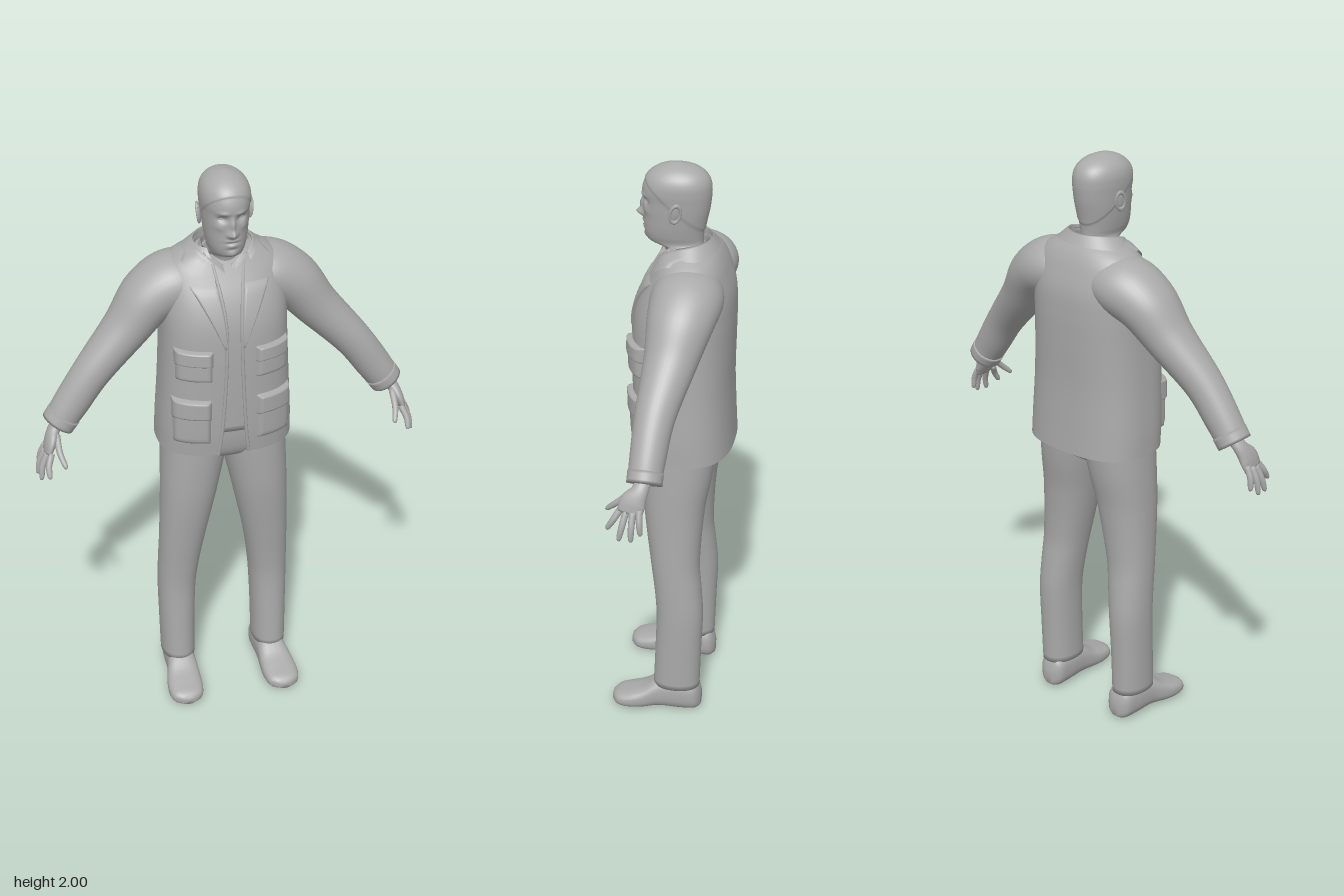
import * as THREE from 'three';

const grey = new THREE.MeshStandardMaterial({ color: 0xaaaaaa, side: THREE.DoubleSide });
grey.name = 'plain grey';

// Smooth surface from f(u, v) -> [x, y, z]; outward side is du x dv
function grid(f, nu, nv, wrap = false) {
  const pos = [], idx = [], w = wrap ? nu : nu + 1;
  for (let j = 0; j <= nv; j++) for (let i = 0; i < w; i++) pos.push(...f(i / nu, j / nv));
  for (let j = 0; j < nv; j++) for (let i = 0; i < nu; i++) {
    const a = j * w + i, b = j * w + (i + 1) % w;
    idx.push(a, b, b + w, a, b + w, a + w);
  }
  const g = new THREE.BufferGeometry();
  g.setAttribute('position', new THREE.Float32BufferAttribute(pos, 3));
  g.setIndex(idx);
  g.computeVertexNormals();
  return g;
}

// Cubic interpolation of rows keyed by their first column
function sample(rows, key) {
  const n = rows.length;
  const k = Math.min(Math.max(key, rows[0][0]), rows[n - 1][0]);
  let i = 0;
  while (i < n - 2 && k > rows[i + 1][0]) i++;
  const a = rows[i], b = rows[i + 1], p = rows[Math.max(i - 1, 0)], q = rows[Math.min(i + 2, n - 1)];
  const h = b[0] - a[0], t = (k - a[0]) / h, t2 = t * t, t3 = t2 * t;
  return a.map((_, c) => {
    const ma = (b[c] - p[c]) / (b[0] - p[0]) * h, mb = (q[c] - a[c]) / (q[0] - a[0]) * h;
    return a[c] * (2 * t3 - 3 * t2 + 1) + ma * (t3 - 2 * t2 + t) + b[c] * (3 * t2 - 2 * t3) + mb * (t3 - t2);
  });
}
const pw = (s, n) => Math.sign(s) * Math.abs(s) ** (2 / n);

// Upright body from rows [y, xMin, xMax, zFront, zBack, power], closed at both ends
function loft(rows, nu, nv, shape = p => p) {
  const y0 = rows[0][0], y1 = rows[rows.length - 1][0];
  return grid((u, v) => {
    const j = Math.round(v * (nv + 2)), cap = j === 0 || j === nv + 2 ? 0 : 1;
    const t = Math.min(Math.max((j - 1) / nv, 0), 1);
    const [y, xa, xb, zf, zb, n] = sample(rows, y0 + (y1 - y0) * t);
    const a = u * Math.PI * 2;
    return shape([(xa + xb) / 2 + cap * (xb - xa) / 2 * pw(Math.sin(a), n), y,
      (zf + zb) / 2 + cap * (zf - zb) / 2 * pw(Math.cos(a), n)]);
  }, nu, nv + 2, true);
}

// Limb along points [x, y, z, radius across, radius in depth]
function limb(pts, nu = 24, nv = 30) {
  const rows = pts.map((p, i) => [i, ...p]), last = pts.length - 1;
  return grid((u, v) => {
    const j = Math.round(v * (nv + 2)), cap = j === 0 || j === nv + 2 ? 0 : 1;
    const k = Math.min(Math.max((j - 1) / nv, 0), 1) * last;
    const [, x, y, z, rn, rb] = sample(rows, k);
    const p = sample(rows, k - 0.05), q = sample(rows, k + 0.05);
    const T = new THREE.Vector3(q[1] - p[1], q[2] - p[2], q[3] - p[3]).normalize();
    const B = new THREE.Vector3(0, 0, 1).addScaledVector(T, -T.z).normalize();
    const N = B.clone().cross(T), a = u * Math.PI * 2;
    return new THREE.Vector3(x, y, z).addScaledVector(N, cap * rn * Math.cos(a))
      .addScaledVector(B, cap * rb * Math.sin(a)).toArray();
  }, nu, nv + 2, true);
}

// Jacket rows: [y, half width, zFront, zBack, power, half opening]
const jacketRows = [
  [1.015, 0.23, 0.127, -0.2, 2.6, 0.052], [1.1, 0.228, 0.135, -0.196, 2.6, 0.042],
  [1.25, 0.219, 0.14, -0.191, 2.6, 0.032], [1.4, 0.212, 0.141, -0.194, 2.6, 0.026],
  [1.5, 0.21, 0.133, -0.195, 2.6, 0.026], [1.58, 0.209, 0.108, -0.19, 2.5, 0.033],
  [1.66, 0.2, 0.064, -0.166, 2.4, 0.045], [1.69, 0.175, 0.048, -0.152, 2.3, 0.05],
  [1.715, 0.135, 0.036, -0.135, 2.2, 0.055], [1.735, 0.09, 0.025, -0.11, 2, 0.06]];
const chestZ = (x, y) => {
  const [, hw, zf, zb, n] = sample(jacketRows, y);
  return (zf + zb) / 2 + (zf - zb) / 2 * Math.max(0, 1 - Math.abs(x / hw) ** n) ** (1 / n);
};
const gapAt = y => sample(jacketRows, y)[5];

// Raised cloth panel lying on the chest between xa(y) and xb(y)
function panel(xa, xb, y0, y1, thick) {
  const N = 18;
  return grid((u, v) => {
    const y = y0 + (y1 - y0) * v, x = xa(y) + (xb(y) - xa(y)) * u;
    const e = Math.min(u, 1 - u, v, 1 - v) * N;
    const t = e < 0.5 ? -0.003 : e < 1.5 ? thick * 0.75 : thick;
    return [x + t * x * 2, y, chestZ(x, y) + t];
  }, N, N);
}

// Turned-down collar, open at the front
function collar(sweep, rx, rz, ox, oz, top, drop, front, lift) {
  return grid((u, v) => {
    const a = (u * 2 - 1) * sweep, f = Math.abs(u * 2 - 1) ** 3, s = Math.sin(a), c = -Math.cos(a);
    const w = v < 0.35 ? 0 : (v - 0.35) / 0.65;
    const y = top - front * f - (v < 0.35 ? (0.35 - v) * 0.12 : drop * (1 + f) * w);
    const x = s * (rx + (ox - rx) * w);
    let z = -0.03 + c * (rz + (oz - rz) * w);
    if (w > 0.2 && z > -0.03) z = Math.max(z, chestZ(x, y) + lift);
    return [x, y, z];
  }, 60, 14);
}

export function createModel() {
  const model = new THREE.Group();
  const add = (parent, name, geometry) => {
    const m = new THREE.Mesh(geometry, grey);
    m.name = name;
    parent.add(m);
    return m;
  };

  // Head and neck, with the face and hairline raised by soft bumps [x, y, width, height, amount]
  const bumps = [[0, 1.825, 0.011, 0.013, 0.024], [0, 1.855, 0.008, 0.022, 0.013], [0.013, 1.822, 0.006, 0.007, 0.007],
    [0.03, 1.874, 0.015, 0.01, -0.013], [0.028, 1.896, 0.018, 0.006, 0.005], [0, 1.8, 0.02, 0.004, 0.005],
    [0, 1.792, 0.02, 0.003, -0.005], [0, 1.782, 0.016, 0.005, 0.004], [0, 1.768, 0.02, 0.005, -0.004],
    [0, 1.75, 0.016, 0.01, 0.005], [0.042, 1.845, 0.014, 0.012, 0.004]];
  const headRows = [[1.64, 0.075, 0.03, -0.1], [1.7, 0.062, 0.035, -0.092], [1.722, 0.06, 0.048, -0.088],
    [1.737, 0.056, 0.09, -0.087], [1.76, 0.062, 0.104, -0.088], [1.79, 0.068, 0.107, -0.092],
    [1.82, 0.072, 0.107, -0.098], [1.85, 0.075, 0.108, -0.104], [1.88, 0.077, 0.109, -0.108],
    [1.91, 0.079, 0.112, -0.11], [1.94, 0.077, 0.104, -0.107], [1.965, 0.067, 0.088, -0.094],
    [1.985, 0.047, 0.061, -0.068], [1.995, 0.026, 0.035, -0.038], [2, 0.008, 0.012, -0.012]]
    .map(([y, h, f, b]) => [y, -h, h, f, b, 2.1]);
  add(model, 'head', loft(headRows, 112, 96, ([x, y, z]) => {
    let dz = 0;
    if (z > 0.02) for (const [bx, by, sx, sy, amt] of bumps)
      dz += amt * Math.exp(-(((Math.abs(x) - bx) / sx) ** 2) - ((y - by) / sy) ** 2);
    const hair = y > 1.76 ? 1 + 0.035 * THREE.MathUtils.smoothstep(y - 1.86 - 0.9 * z, -0.004, 0.004) : 1;
    return [x * hair, y, z * hair + dz];
  }));

  // Shirt and hips under the open jacket
  add(model, 'shirt', loft(jacketRows.slice(1, 9).map(([y, h, f, b, n]) =>
    [y, -h * 0.93, h * 0.93, f - 0.012, b + 0.015, n]), 48, 30));
  add(model, 'shirtCollar', collar(2.95, 0.068, 0.072, 0.085, 0.085, 1.745, 0.035, 0.06, 0.004));
  add(model, 'hips', loft([[0.945, -0.09, 0.09, 0.03, -0.09, 2.2], [0.98, -0.17, 0.17, 0.08, -0.14, 2.4],
    [1.03, -0.205, 0.205, 0.1, -0.155, 2.5], [1.12, -0.205, 0.205, 0.11, -0.16, 2.5]], 40, 14));

  // Jacket shell, left open at the front
  add(model, 'jacket', grid((u, v) => {
    const [y, hw, zf, zb, n, gap] = sample(jacketRows, 1.015 + 0.72 * v);
    const a0 = Math.asin((gap / hw) ** (n / 2)), a = a0 + u * (Math.PI * 2 - 2 * a0);
    return [hw * pw(Math.sin(a), n), y, (zf + zb) / 2 + (zf - zb) / 2 * pw(Math.cos(a), n)];
  }, 80, 48));
  add(model, 'jacketCollar', collar(2.4, 0.096, 0.086, 0.145, 0.11, 1.757, 0.036, 0.04, 0.011));

  // Left half parts, mirrored for the right
  const left = new THREE.Group();
  left.name = 'leftSide';
  const ys = Array.from({ length: 14 }, (_, i) => 1.017 + i * 0.052);
  add(left, 'jacketEdge', new THREE.TubeGeometry(new THREE.CatmullRomCurve3(
    ys.map(y => new THREE.Vector3(gapAt(y), y, chestZ(gapAt(y), y)))), 60, 0.006, 8));
  add(left, 'lapel', panel(gapAt, y => gapAt(y) + 0.004 + (y - 1.42) * 0.42, 1.42, 1.635, 0.009));
  for (const [name, xa, xb, y0, y1, t] of [
    ['upperPocket', 0.073, 0.188, 1.31, 1.415, 0.013], ['upperPocketFlap', 0.07, 0.191, 1.37, 1.425, 0.019],
    ['lowerPocket', 0.078, 0.198, 1.065, 1.235, 0.013], ['lowerPocketFlap', 0.075, 0.201, 1.165, 1.24, 0.019]])
    add(left, name, panel(() => xa, () => xb, y0, y1, t));

  // Sleeve and cuff
  add(left, 'sleeve', limb([[0.06, 1.6, -0.055, 0.07, 0.1], [0.15, 1.6, -0.06, 0.1, 0.118],
    [0.24, 1.555, -0.052, 0.094, 0.108], [0.325, 1.455, -0.035, 0.077, 0.086],
    [0.443, 1.327, -0.009, 0.064, 0.066], [0.52, 1.22, 0, 0.06, 0.058], [0.567, 1.152, 0.003, 0.053, 0.054]], 36, 48));
  add(left, 'cuff', limb([[0.546, 1.182, 0.002, 0.059, 0.058], [0.569, 1.149, 0.003, 0.057, 0.057]], 32, 4));

  // Hand
  add(left, 'palm', limb([[0.555, 1.17, 0.005, 0.02, 0.027], [0.585, 1.135, 0.014, 0.02, 0.028],
    [0.602, 1.1, 0.033, 0.019, 0.042], [0.615, 1.065, 0.042, 0.013, 0.04]], 24, 16));
  for (const [name, a, b] of [
    ['thumb', [0.58, 1.125, 0.04], [0.568, 1.045, 0.127]], ['indexFinger', [0.605, 1.075, 0.072], [0.622, 1.005, 0.115]],
    ['middleFinger', [0.615, 1.072, 0.053], [0.645, 0.98, 0.073]], ['ringFinger', [0.62, 1.073, 0.031], [0.65, 0.982, 0.033]],
    ['littleFinger', [0.616, 1.08, 0.011], [0.64, 1.002, 0.004]]]) {
    const at = (t, r, bow = 0) => [...a.map((c, i) => c + (b[i] - c) * t + (i === 0 ? bow : 0)), r, r];
    add(left, name, limb([at(0, 0.011), at(0.5, 0.0105, 0.006), at(0.9, 0.0085), at(1, 0.004)], 12, 12));
  }

  // Trouser leg
  add(left, 'trouserLeg', loft([[0.1, 0.11, 0.228, 0.053, -0.11, 2.2], [0.25, 0.107, 0.231, 0.046, -0.115, 2.2],
    [0.4, 0.1, 0.233, 0.042, -0.12, 2.2], [0.5, 0.088, 0.231, 0.05, -0.113, 2.2], [0.6, 0.072, 0.228, 0.063, -0.105, 2.2],
    [0.8, 0.03, 0.222, 0.088, -0.118, 2.2], [0.93, 0.002, 0.218, 0.095, -0.14, 2.2],
    [1.05, -0.02, 0.212, 0.098, -0.152, 2.2], [1.1, -0.02, 0.208, 0.1, -0.152, 2.2]], 40, 50));

  // Shoe rows: [z, x centre, half width, bottom, top]
  const shoeRows = [[-0.115, 0.162, 0.022, 0.012, 0.07], [-0.1, 0.163, 0.045, 0.002, 0.11], [-0.05, 0.165, 0.052, 0, 0.125],
    [0.03, 0.168, 0.053, 0.003, 0.118], [0.09, 0.174, 0.061, 0, 0.082], [0.14, 0.177, 0.062, 0, 0.064],
    [0.18, 0.178, 0.05, 0.005, 0.052], [0.198, 0.178, 0.022, 0.012, 0.04]];
  add(left, 'shoe', grid((u, v) => {
    const j = Math.round(v * 36), cap = j === 0 || j === 36 ? 0 : 1, a = u * Math.PI * 2;
    const [z, xc, hw, lo, hi] = sample(shoeRows, -0.115 + 0.313 * Math.min(Math.max((j - 1) / 34, 0), 1));
    return [xc - cap * hw * pw(Math.sin(a), 2.6), (lo + hi) / 2 + cap * (hi - lo) / 2 * pw(Math.cos(a), 2.6), z];
  }, 32, 36, true));

  // Ear and eye
  const ear = new THREE.Group();
  ear.name = 'ear';
  ear.position.set(0.081, 1.857, -0.008);
  ear.rotation.set(-0.15, 0.3, -0.1);
  add(ear, 'earBody', new THREE.SphereGeometry(1, 16, 12)).scale.set(0.006, 0.032, 0.018);
  const rim = add(ear, 'earRim', new THREE.TorusGeometry(0.017, 0.0045, 8, 24));
  rim.rotation.y = Math.PI / 2;
  rim.scale.y = 1.75;
  rim.position.x = 0.004;
  left.add(ear);
  add(left, 'eye', new THREE.SphereGeometry(0.012, 16, 12)).position.set(0.03, 1.873, 0.078);

  const right = left.clone();
  right.name = 'rightSide';
  right.scale.x = -1;
  model.add(left, right);
  return model;
}
